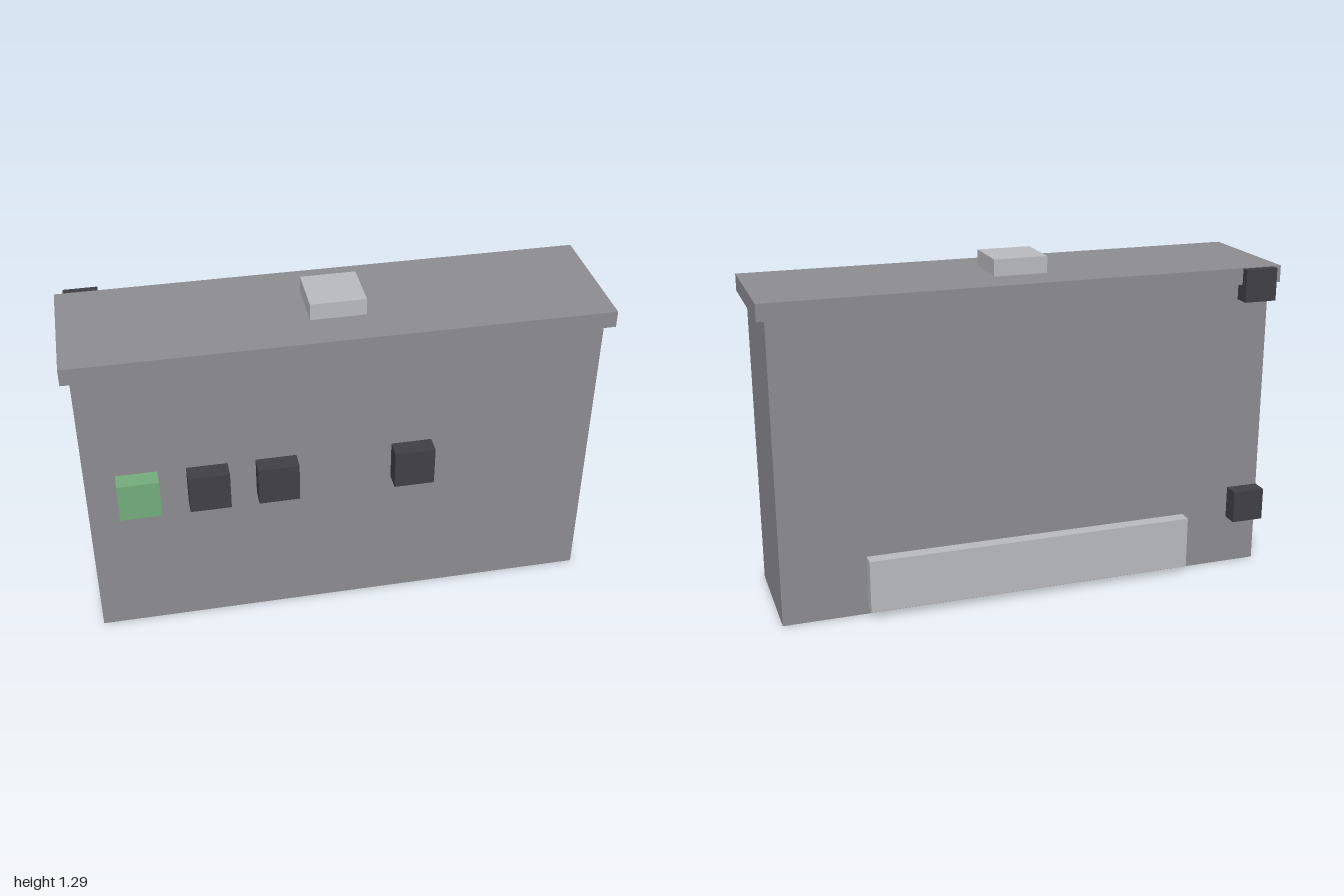
import * as THREE from 'three';

const material = (name, color) => {
  const m = new THREE.MeshStandardMaterial({ color });
  m.name = name;
  return m;
};

export function createModel() {
  const grey = material('casing grey', 0x8e8d92);
  const light = material('light grey', 0xbbbcc0);
  const dark = material('charcoal', 0x414045);
  const green = material('green', 0x74ae7c);

  const group = new THREE.Group();
  group.name = 'cabinet';

  // Box given by its [min, max] range on each axis
  const box = (name, mat, [x0, x1], [y0, y1], [z0, z1]) => {
    const mesh = new THREE.Mesh(new THREE.BoxGeometry(x1 - x0, y1 - y0, z1 - z0), mat);
    mesh.position.set((x0 + x1) / 2, (y0 + y1) / 2, (z0 + z1) / 2);
    mesh.name = name;
    group.add(mesh);
  };

  // Casing with overhanging lid and top block
  box('body', grey, [-0.968, 0.968], [0, 1.163], [-0.227, 0.224]);
  box('lid', grey, [-1, 1], [1.163, 1.227], [-0.26, 0.256]);
  box('topBlock', light, [-0.104, 0.104], [1.227, 1.291], [-0.104, 0.1]);

  // Row of front buttons, the first one green
  [-0.777, -0.518, -0.26, 0.257].forEach((x, i) =>
    box(`button${i + 1}`, i ? dark : green, [x - 0.077, x + 0.077], [0.57, 0.725], [0.16, 0.293]));

  // Hinges on the back right edge, the upper one just under the lid surface
  box('lowerHinge', dark, [-0.968, -0.84], [0.196, 0.324], [-0.291, -0.163]);
  box('upperHinge', dark, [-0.968, -0.84], [1.099, 1.225], [-0.291, -0.163]);

  // Long rail low on the back
  box('backRail', light, [-0.645, 0.645], [0.027, 0.233], [-0.278, -0.2]);

  return group;
}
